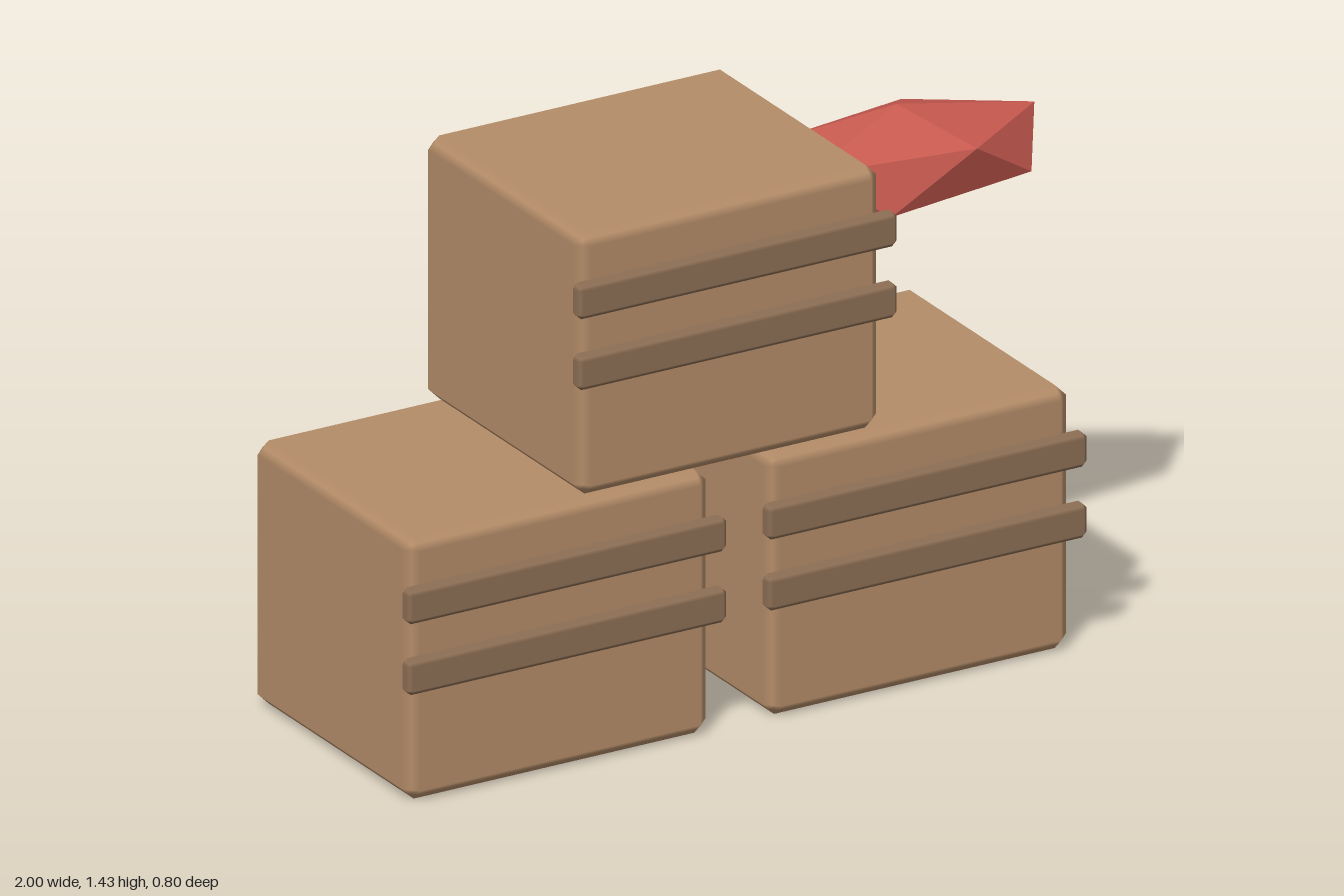
import * as THREE from 'three';
import { RoundedBoxGeometry } from 'three/addons/geometries/RoundedBoxGeometry.js';
import { ConvexGeometry } from 'three/addons/geometries/ConvexGeometry.js';

// Box with flat 45 degree bevels and soft normals across them
function bevelledBox(w, h, d, bevel) {
  const geo = new RoundedBoxGeometry(w, h, d, 1, bevel);
  const pos = geo.attributes.position;
  const nor = geo.attributes.normal;
  const p = new THREE.Vector3();
  const n = new THREE.Vector3();
  for (let i = 0; i < pos.count; i++) {
    p.fromBufferAttribute(pos, i);
    n.fromBufferAttribute(nor, i);
    const reach = Math.abs(n.x) + Math.abs(n.y) + Math.abs(n.z);
    p.addScaledVector(n, bevel * (1 / reach - 1));
    pos.setXYZ(i, p.x, p.y, p.z);
  }
  return geo;
}

// Twelve-point stretched gem: two poles and two staggered rings of five
function gemGeometry(rx, ry, rz) {
  const ringY = 1 / Math.sqrt(5);
  const ringR = 2 / Math.sqrt(5);
  const points = [new THREE.Vector3(0, ry, 0), new THREE.Vector3(0, -ry, 0)];
  for (let i = 0; i < 10; i++) {
    const a = (i * Math.PI) / 5;
    const y = i % 2 === 0 ? ringY : -ringY;
    points.push(new THREE.Vector3(Math.cos(a) * ringR * rx, y * ry, Math.sin(a) * ringR * rz));
  }
  return new ConvexGeometry(points);
}

export function createModel() {
  const model = new THREE.Group();
  model.name = 'crateStack';

  const crateMat = new THREE.MeshStandardMaterial({ color: 0xb48c68 });
  const slatMat = new THREE.MeshStandardMaterial({ color: 0x8c6e54 });
  const gemMat = new THREE.MeshStandardMaterial({ color: 0xc85a50, flatShading: true });

  const crateGeo = bevelledBox(0.87, 0.705, 0.76, 0.032);
  const slatGeo = bevelledBox(0.92, 0.093, 0.045, 0.014);

  function add(parent, name, geo, mat, x, y, z) {
    const mesh = new THREE.Mesh(geo, mat);
    mesh.name = name;
    mesh.position.set(x, y, z);
    parent.add(mesh);
  }

  // Crates, each with two slats across the front
  const crates = [
    ['lowerRightCrate', -0.54, 0],
    ['lowerLeftCrate', 0.495, 0],
    ['upperCrate', -0.05, 0.71],
  ];
  for (const [name, x, y] of crates) {
    const crate = new THREE.Group();
    crate.name = name;
    crate.position.set(x, y, 0);
    add(crate, 'crateBody', crateGeo, crateMat, 0, 0.3555, -0.02);
    add(crate, 'upperSlat', slatGeo, slatMat, 0, 0.547, 0.377);
    add(crate, 'lowerSlat', slatGeo, slatMat, 0, 0.357, 0.377);
    model.add(crate);
  }

  // Faceted gem poking out of the upper crate's side
  add(model, 'gem', gemGeometry(0.442, 0.145, 0.214), gemMat, 0.603, 1.284, 0.063);

  return model;
}
